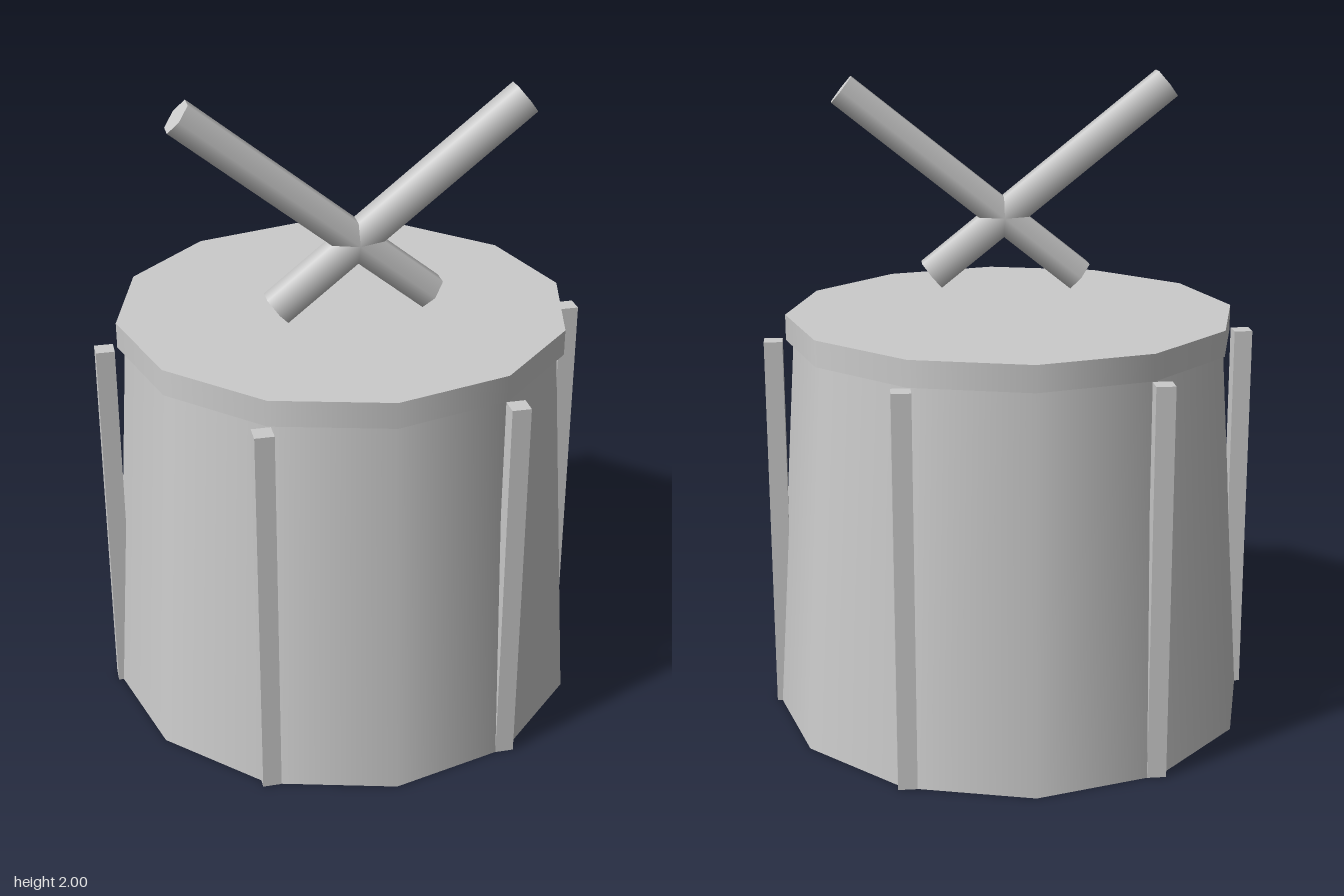
import * as THREE from 'three';

const material = new THREE.MeshStandardMaterial({ color: 0xcccccc });

function addPart(group, name, geometry, x, y, z, tilt = 0) {
  const mesh = new THREE.Mesh(geometry, material);
  mesh.name = name;
  mesh.position.set(x, y, z);
  mesh.rotation.z = tilt;
  group.add(mesh);
}

export function createModel() {
  const drum = new THREE.Group();
  drum.name = 'drum';

  // Tapered twelve-sided shell and the overhanging drumhead
  addPart(drum, 'shell', new THREE.CylinderGeometry(0.675, 0.757, 1.2, 12), 0, 0.6, 0);
  addPart(drum, 'drumhead', new THREE.CylinderGeometry(0.698, 0.698, 0.08, 12), 0, 1.24, 0);

  // Six upright square rods around the shell, all aligned to the axes
  const rod = new THREE.BoxGeometry(0.057, 1.2, 0.057);
  for (let i = 0; i < 6; i++) {
    const a = (i * Math.PI) / 3;
    addPart(drum, 'tensionRod', rod, 0.737 * Math.cos(a), 0.6, 0.737 * Math.sin(a));
  }

  // Two crossed hexagonal sticks above the head
  const stick = new THREE.CylinderGeometry(0.057, 0.057, 0.954, 6);
  addPart(drum, 'rightDrumstick', stick, -0.136, 1.663, 0.161, 0.896);
  addPart(drum, 'leftDrumstick', stick, 0.136, 1.652, 0.161, -0.896);

  return drum;
}
